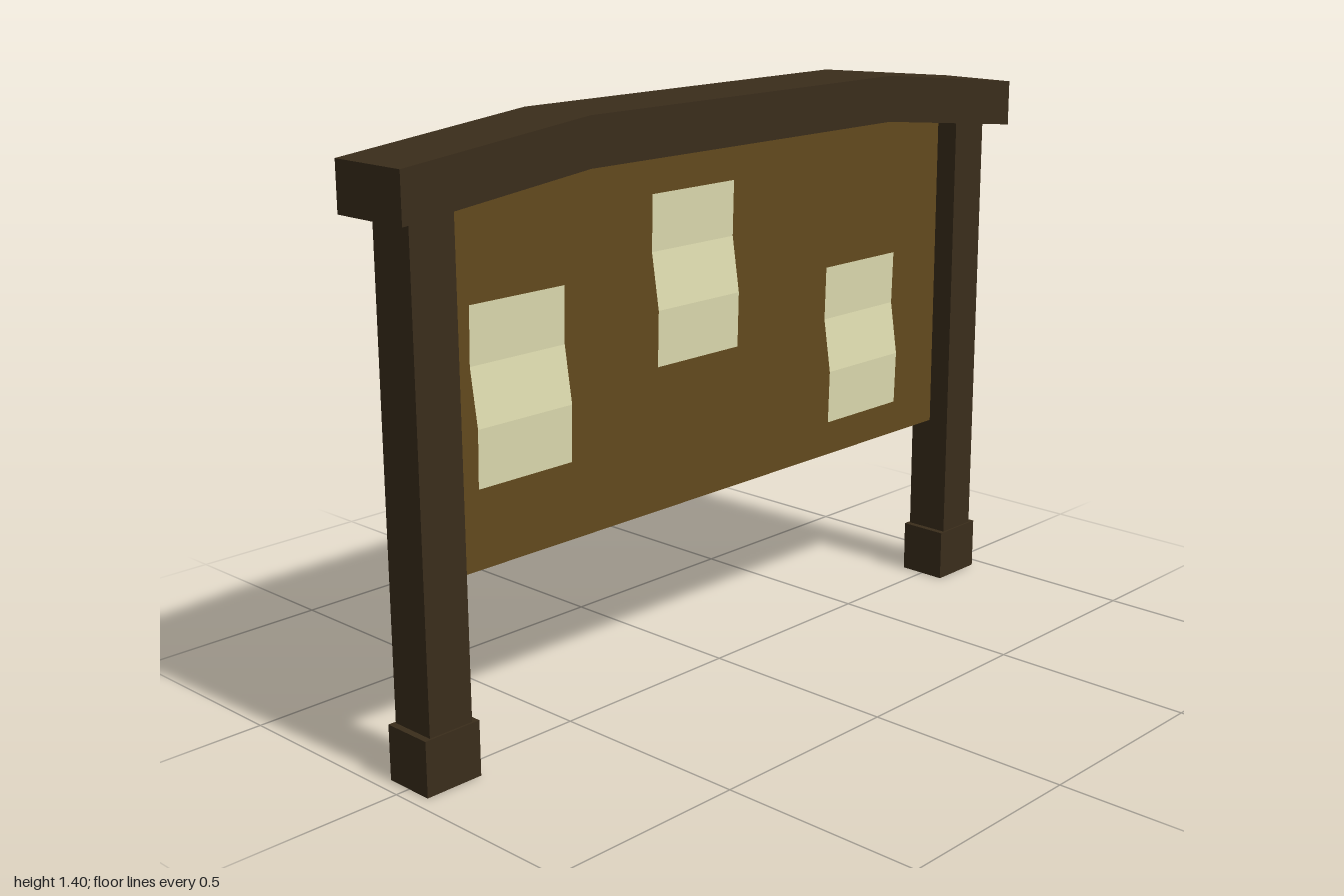
import * as THREE from 'three';

const paint = (color, side = THREE.FrontSide) =>
  new THREE.MeshStandardMaterial({ color, side, flatShading: true });
const darkWood = paint(0x3a2d1b);
const boardWood = paint(0x62491e, THREE.DoubleSide);
const paper = paint(0xdcd9ae, THREE.DoubleSide);

const outline = (points) => new THREE.Shape(points.map(([x, y]) => new THREE.Vector2(x, y)));

export function createModel() {
  const model = new THREE.Group();
  const add = (name, geometry, material, x = 0, y = 0, z = 0) => {
    const mesh = new THREE.Mesh(geometry, material);
    mesh.name = name;
    mesh.position.set(x, y, z);
    model.add(mesh);
    return mesh;
  };

  // Posts and their square feet
  for (const [side, s] of [['left', 1], ['right', -1]]) {
    add(side + 'Post', new THREE.BoxGeometry(0.115, 1.15, 0.115), darkWood, s * 0.892, 0.7, 0);
    add(side + 'Foot', new THREE.BoxGeometry(0.147, 0.13, 0.125), darkWood, s * 0.892, 0.065, 0);
  }

  // Bent roof beam
  const beam = new THREE.ExtrudeGeometry(outline([
    [-1, 1.232], [-0.5, 1.288], [0.5, 1.288], [1, 1.232],
    [1, 1.345], [0.5, 1.4], [-0.5, 1.4], [-1, 1.345],
  ]), { depth: 0.206, bevelEnabled: false });
  add('roofBeam', beam, darkWood, 0, 0, -0.103);

  // Thin notice panel, its top hidden in the beam
  add('panel', new THREE.ShapeGeometry(outline([
    [-0.86, 0.437], [0.86, 0.437], [0.86, 1.27], [0.5, 1.31], [-0.5, 1.31], [-0.86, 1.27],
  ])), boardWood);

  // Paper sheets, each folded into three strips
  const bend = [0.014, 0.01, 0.03, 0.026];
  [[-0.635, 0.828], [-0.098, 0.992], [0.507, 0.732]].forEach(([x, y], i) => {
    const sheet = new THREE.PlaneGeometry(0.267, 0.397, 1, 3);
    const p = sheet.attributes.position;
    for (let v = 0; v < p.count; v++) p.setZ(v, bend[Math.floor(v / 2)]);
    sheet.computeVertexNormals();
    add('paperSheet' + (i + 1), sheet, paper, x, y, 0);
  });

  return model;
}
